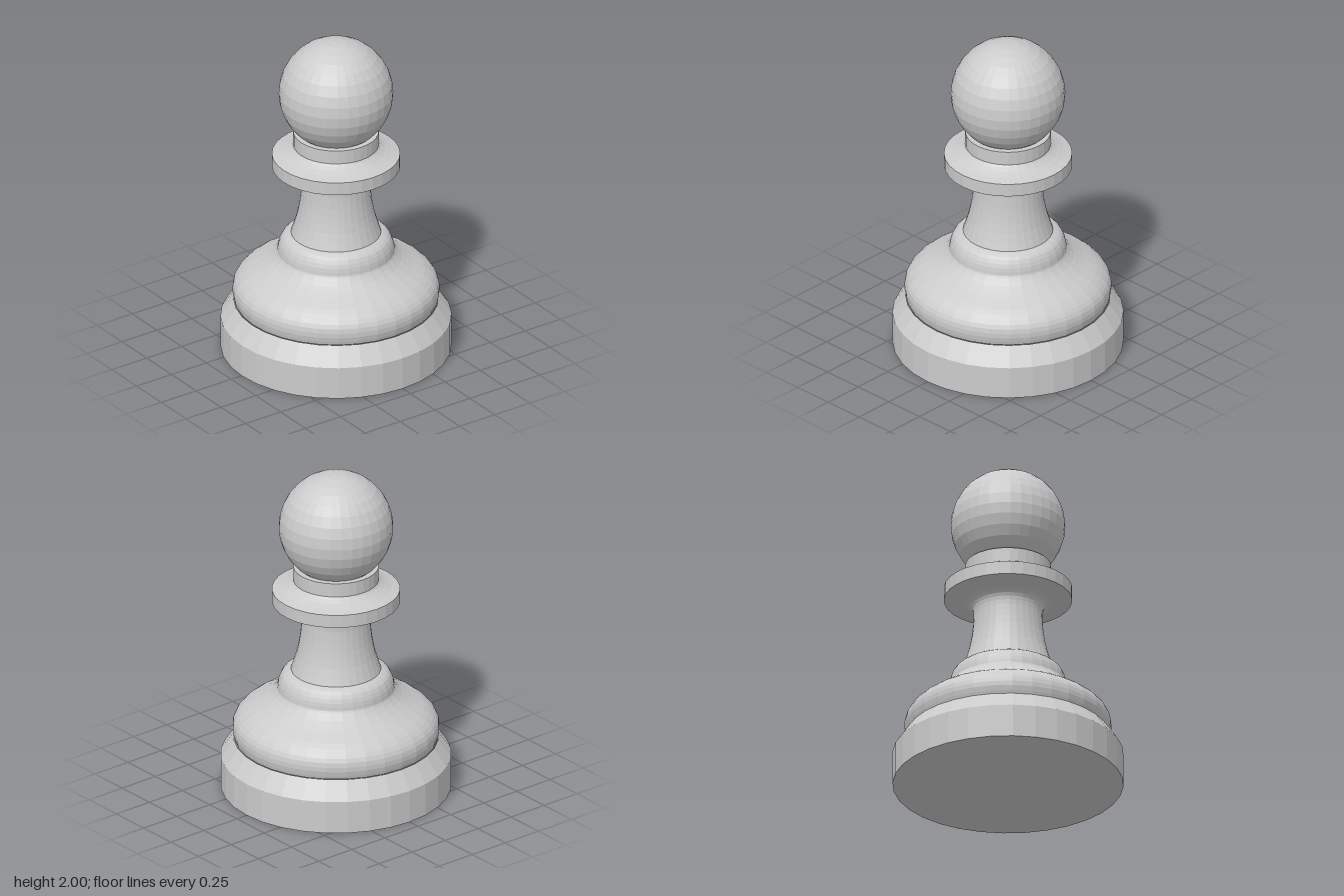
import * as THREE from 'three';

const SIDES = 32;
const material = new THREE.MeshStandardMaterial({ color: 0xcccccc, flatShading: true });
const vectors = (pairs) => pairs.map(([r, y]) => new THREE.Vector2(r, y));

// Smooth stretch of profile through a few [radius, height] points
const curve = (pairs, steps) => new THREE.SplineCurve(vectors(pairs)).getPoints(steps);

function turned(name, profile) {
  const mesh = new THREE.Mesh(new THREE.LatheGeometry(profile, SIDES), material);
  mesh.name = name;
  return mesh;
}

export function createModel() {
  const pawn = new THREE.Group();
  pawn.name = 'pawn';

  // Straight plinth with a chamfered top and a closed underside
  pawn.add(turned('base', vectors([[0, 0], [0.675, 0], [0.675, 0.2], [0.598, 0.31]])));

  // Rounded body sweeping in to the shoulder
  pawn.add(turned('body', curve([
    [0.593, 0.31], [0.605, 0.36], [0.6, 0.415], [0.572, 0.46], [0.52, 0.502],
    [0.45, 0.54], [0.385, 0.583], [0.35, 0.62], [0.343, 0.635],
  ], 16)));

  // Shoulder ring, closed in to the neck
  pawn.add(turned('shoulder', [
    ...curve([[0.343, 0.635], [0.336, 0.675], [0.315, 0.72], [0.285, 0.742], [0.262, 0.75]], 8),
  ]));

  // Concave neck flaring out under the collar
  pawn.add(turned('neck', curve([
    [0.265, 0.745], [0.232, 0.85], [0.212, 0.95], [0.203, 1.04], [0.202, 1.1],
    [0.214, 1.14], [0.25, 1.165], [0.305, 1.175], [0.375, 1.185],
  ], 16)));

  // Collar disc with a small cove rising to the upper band
  pawn.add(turned('collar', [
    ...vectors([[0.375, 1.185], [0.375, 1.265]]),
    ...curve([[0.375, 1.265], [0.31, 1.285], [0.268, 1.308], [0.25, 1.325]], 4).slice(1),
    ...vectors([[0.25, 1.41], [0.2, 1.41]]),
  ]));

  // Ball head
  const head = new THREE.Mesh(new THREE.SphereGeometry(0.335, SIDES, 16), material);
  head.name = 'head';
  head.position.y = 1.665;
  pawn.add(head);

  return pawn;
}
